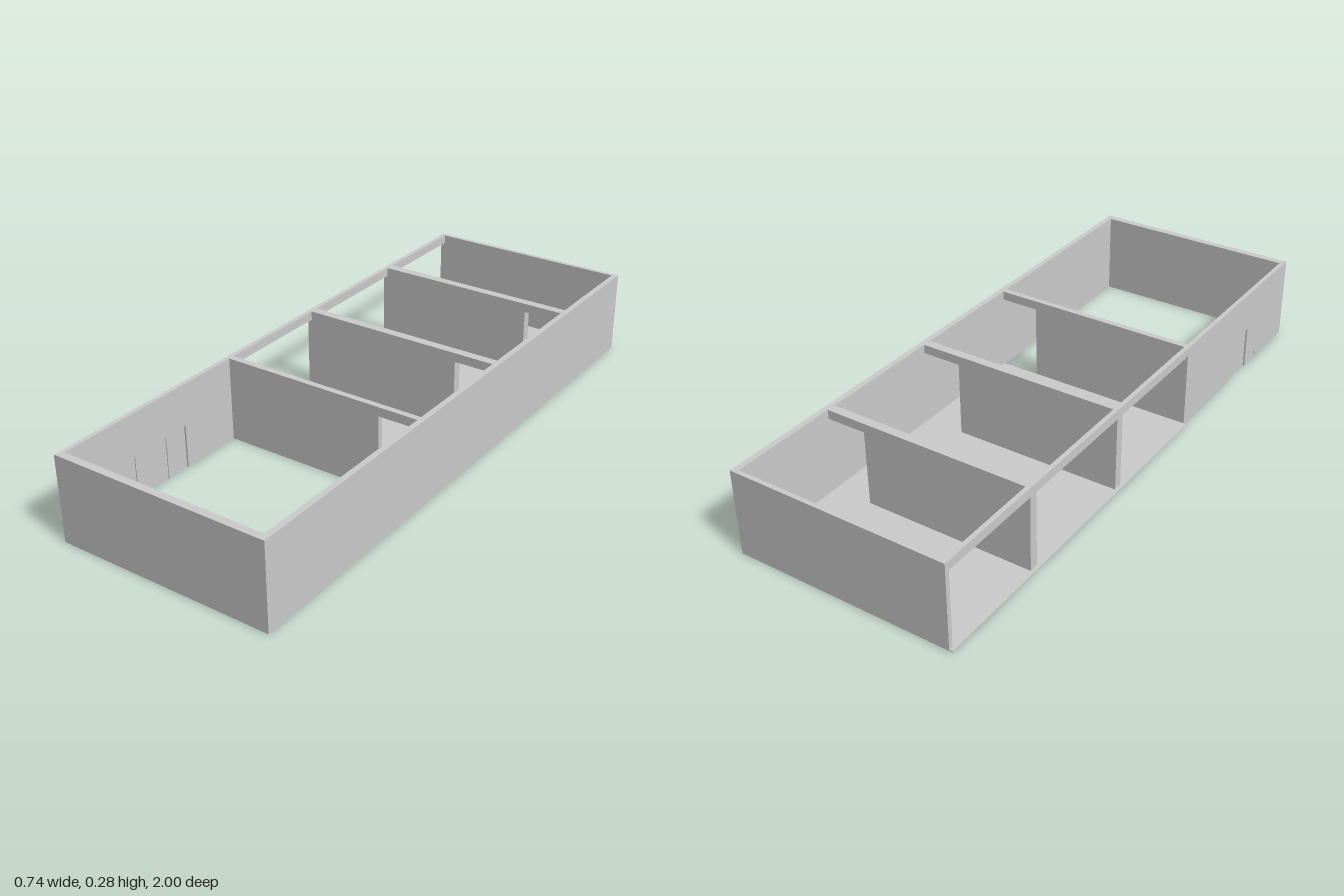
import * as THREE from 'three';

export function createModel() {
  const model = new THREE.Group();
  const grey = new THREE.MeshStandardMaterial({ color: 0xcccccc });

  // Box given by its limits on each axis
  function box(name, [x0, x1], [y0, y1], [z0, z1]) {
    const mesh = new THREE.Mesh(new THREE.BoxGeometry(x1 - x0, y1 - y0, z1 - z0), grey);
    mesh.name = name;
    mesh.position.set((x0 + x1) / 2, (y0 + y1) / 2, (z0 + z1) / 2);
    model.add(mesh);
  }

  const H = 0.284, LINTEL = 0.254, DOOR_H = 0.147;
  const outR = -0.357, inR = -0.342;   // open side wall
  const inL = 0.348, outL = 0.367;     // solid side wall
  const full = [0, H];

  // Outer walls
  box('solidSideWall', [inL, outL], full, [-1, 1]);
  box('frontWall', [outR, inL], full, [0.975, 1]);
  box('backWall', [outR, inL], full, [-1, -0.985]);

  // Thin floor under the three rear rooms
  box('floor', [-0.368, inL], [0, 0.004], [-0.999, 0.265]);

  // Partitions, each with a doorway beside the solid side wall
  const partitions = [[-0.625, -0.595], [-0.17, -0.14], [0.265, 0.285]];
  for (const z of partitions) {
    box('partition', [outR, 0.215], full, z);
    box('doorwayLintel', [0.215, inL], [LINTEL, H], z);
  }

  // Lintels over the wide openings on the open side
  let start = -0.985;
  for (const [z0, z1] of partitions) {
    box('openingLintel', [outR, inR], [LINTEL, H], [start, z0]);
    start = z1;
  }

  // Front room side wall: two skins with recesses around a closed door
  function skin(name, x, z0, z1) {
    box(name, x, full, [0.285, z0]);
    box(name, x, full, [z1, 0.975]);
    box(name, x, [DOOR_H, H], [z0, z1]);
  }
  skin('sideWallOuterSkin', [outR, -0.351], 0.58, 0.712);
  skin('sideWallInnerSkin', [-0.351, inR], 0.5, 0.8);
  box('doorLeaf', [-0.351, -0.348], [0, DOOR_H], [0.5, 0.8]);
  for (const z of [0.58, 0.712]) {
    box('doorPost', [-0.348, -0.345], [0, DOOR_H], [z - 0.004, z + 0.004]);
  }

  // Small fitting low on the outside wall
  box('wallFitting', [outR - 0.003, outR], [0.015, 0.027], [0.785, 0.795]);

  return model;
}
